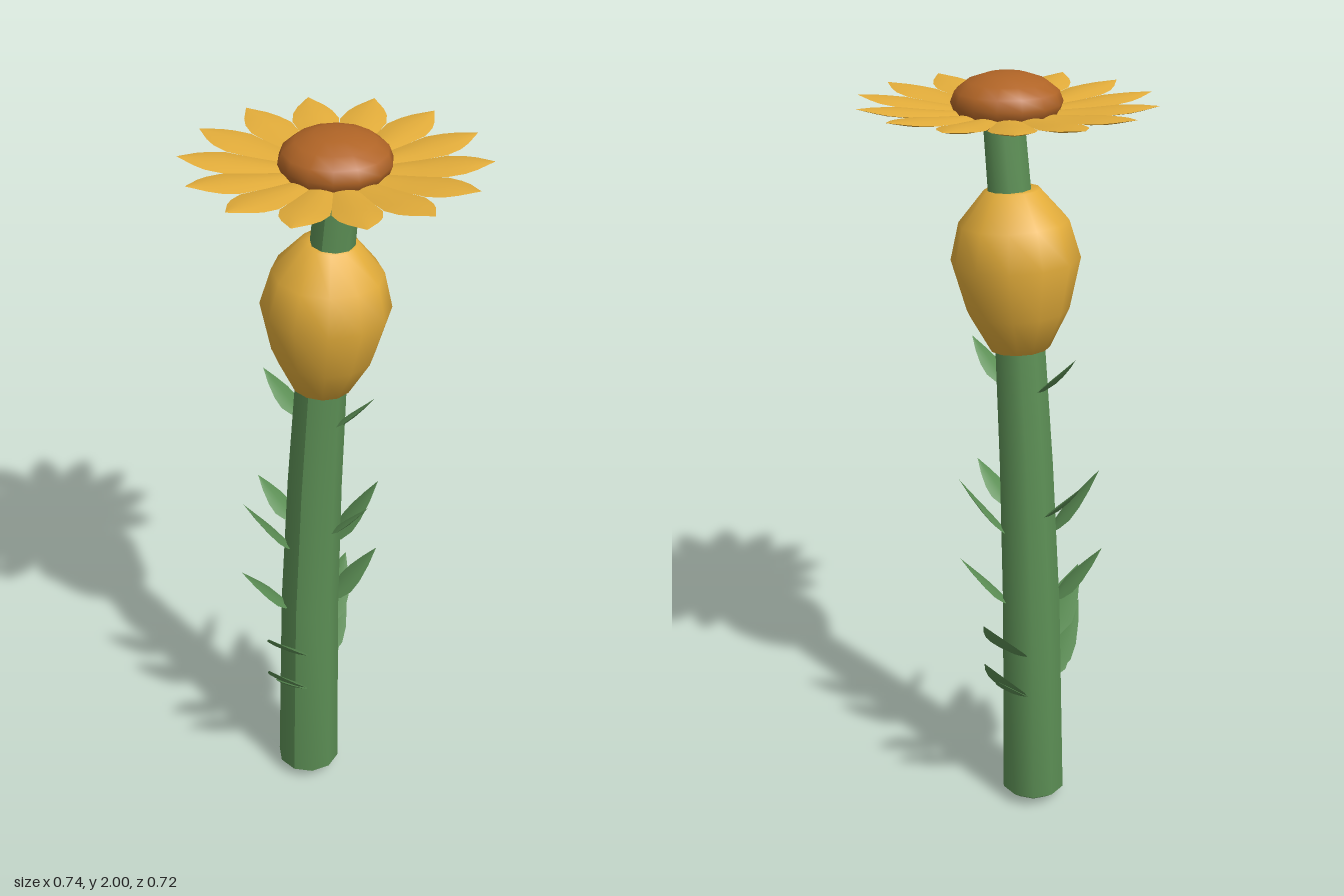
import * as THREE from 'three';

const mat = (name, color) => {
  const m = new THREE.MeshStandardMaterial({ color });
  m.name = name;
  return m;
};

// Thin pointed blade along +x: rows of [distance, half width, rise], ridged above and below.
function bladeGeometry(rows, thick) {
  const pos = [], idx = [];
  const maxW = Math.max(...rows.map(r => r[1]));
  for (const side of [1, -1]) {
    const start = pos.length / 3;
    for (const [x, w, rise] of rows) {
      for (const s of [-1, -0.5, 0, 0.5, 1]) {
        pos.push(x, rise + side * thick * (w / maxW) * (1 - s * s), s * w);
      }
    }
    for (let i = 0; i < rows.length - 1; i++) {
      for (let j = 0; j < 4; j++) {
        const a = start + i * 5 + j, b = a + 1, c = a + 5, d = a + 6;
        if (side > 0) idx.push(a, b, c, b, d, c);
        else idx.push(a, c, b, b, c, d);
      }
    }
  }
  const g = new THREE.BufferGeometry();
  g.setAttribute('position', new THREE.Float32BufferAttribute(pos, 3));
  g.setIndex(idx);
  g.computeVertexNormals();
  return g;
}

// Sideways lean of the stem at a given height.
const stemX = y => -0.09 + 0.028 * y * y;

export function createModel() {
  const root = new THREE.Group();
  root.name = 'flower';
  const green = mat('stem green', 0x5c8f55);
  const yellow = mat('petal yellow', 0xe2ac3a);
  const brown = mat('seed brown', 0xb06426);

  const add = (name, geo, material, parent = root) => {
    const m = new THREE.Mesh(geo, material);
    m.name = name;
    parent.add(m);
    return m;
  };

  // Stem: tapering, gently bent, with a shallow rounded foot
  const stemGeo = new THREE.LatheGeometry([
    [0, 0], [0.06, 0.015], [0.086, 0.035], [0.079, 0.6], [0.072, 1.0], [0.066, 1.32], [0.056, 1.7], [0.053, 1.9],
  ].map(p => new THREE.Vector2(...p)), 10);
  const sp = stemGeo.attributes.position;
  for (let i = 0; i < sp.count; i++) sp.setX(i, sp.getX(i) + stemX(sp.getY(i)));
  stemGeo.computeVertexNormals();
  add('stem', stemGeo, green);

  // Swollen yellow bulb below the flower head
  const bulb = add('bulb', new THREE.LatheGeometry([
    [0.04, -0.22], [0.077, -0.22], [0.13, -0.12], [0.163, 0.01], [0.138, 0.105], [0.07, 0.185], [0.04, 0.185],
  ].map(p => new THREE.Vector2(...p)), 12), yellow);
  bulb.position.set(-0.027, 1.53, 0);
  bulb.rotation.z = -0.06;

  // Seed head
  const seedGeo = new THREE.SphereGeometry(0.137, 14, 8);
  seedGeo.rotateY(Math.PI / 14);
  seedGeo.scale(1, 0.0715 / 0.137, 1);
  add('seedHead', seedGeo, brown).position.y = 1.9285;

  // Ring of petals
  const petals = new THREE.Group();
  petals.name = 'petals';
  petals.position.y = 1.905;
  root.add(petals);
  const petalGeo = bladeGeometry([
    [0.08, 0.018, 0], [0.135, 0.031, 0.002], [0.2, 0.046, 0.006], [0.26, 0.058, 0.012],
    [0.3, 0.049, 0.016], [0.328, 0.034, 0.02], [0.37, 0, 0.026],
  ], 0.009);
  for (let i = 0; i < 14; i++) {
    add('petal', petalGeo, yellow, petals).rotation.y = i * Math.PI / 7;
  }

  // Leaves: each entry is base height, base radius, tip height, tip radius, half width, bearings
  const H = Math.PI / 2, D = Math.PI / 4;
  const leafSets = [
    [0.34, 0.055, 0.43, 0.165, 0.046, [H, -H]],
    [0.34, 0.055, 0.51, 0.22, 0.05, [H, -H]],
    [0.46, 0.055, 0.62, 0.22, 0.055, [H, -H]],
    [0.60, 0.06, 0.74, 0.19, 0.045, [D, D + Math.PI]],
    [0.80, 0.055, 0.965, 0.185, 0.043, [D, D + Math.PI]],
    [0.86, 0.055, 0.97, 0.165, 0.037, [0, Math.PI]],
    [1.20, 0.05, 1.31, 0.16, 0.037, [0, Math.PI]],
  ];
  for (const [y0, r0, y1, r1, w, bearings] of leafSets) {
    const len = Math.hypot(y1 - y0, r1 - r0);
    const profile = [[0, 0.3, 0], [0.12, 0.7, -0.02], [0.3, 1, -0.03], [0.5, 0.9, -0.03], [0.75, 0.52, -0.02], [1, 0, 0]];
    const geo = bladeGeometry(profile.map(([t, k, rise]) => [t * len, k * w, rise * len]), 0.006);
    for (const bearing of bearings) {
      const pivot = new THREE.Group();
      pivot.name = 'leafPivot';
      pivot.position.set(stemX(y0), y0, 0);
      pivot.rotation.y = bearing;
      root.add(pivot);
      const leaf = add('leaf', geo, green, pivot);
      leaf.position.x = r0;
      leaf.rotation.z = Math.atan2(y1 - y0, r1 - r0);
    }
  }
  return root;
}
